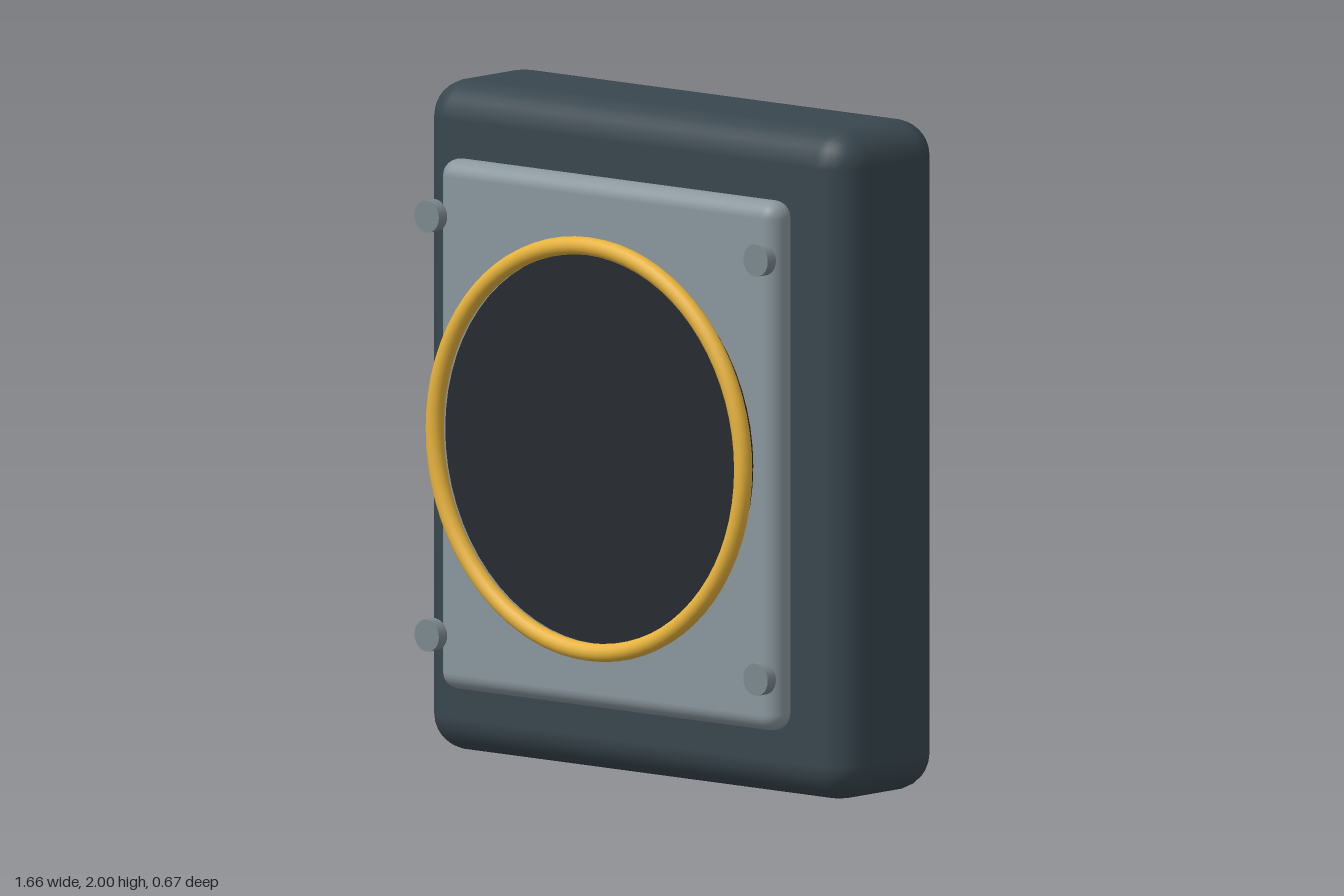
import * as THREE from 'three';
import { RoundedBoxGeometry } from 'three/addons/geometries/RoundedBoxGeometry.js';

const paint = (color) => new THREE.MeshStandardMaterial({ color });

export function createModel() {
  const model = new THREE.Group();
  const add = (name, geometry, material, x, y, z) => {
    const mesh = new THREE.Mesh(geometry, material);
    mesh.name = name;
    mesh.position.set(x, y, z);
    model.add(mesh);
    return mesh;
  };

  // Heavy rounded casing
  add('casing', new RoundedBoxGeometry(1.665, 2, 0.455, 3, 0.11), paint(0x38464e), 0, 1, -0.107);

  // Front panel floating just ahead of the casing
  add('frontPanel', new RoundedBoxGeometry(1.325, 1.58, 0.105, 4, 0.05), paint(0x8a979e), 0, 1.003, 0.184);

  // Dark round face, axis along z
  const disc = new THREE.CylinderGeometry(0.582, 0.582, 0.06, 64).rotateX(Math.PI / 2);
  add('disc', disc, paint(0x262a30), 0, 1.003, 0.257);

  // Gold rim around the face
  add('rim', new THREE.TorusGeometry(0.605, 0.027, 16, 72), paint(0xe6b23c), 0, 1.003, 0.308);

  // Four corner bolts
  const bolt = new THREE.CylinderGeometry(0.048, 0.048, 0.037, 24).rotateX(Math.PI / 2);
  const boltPaint = paint(0x7c898f);
  for (const x of [-0.645, 0.645]) {
    for (const y of [0.38, 1.63]) add('bolt', bolt, boltPaint, x, y, 0.28);
  }
  return model;
}
